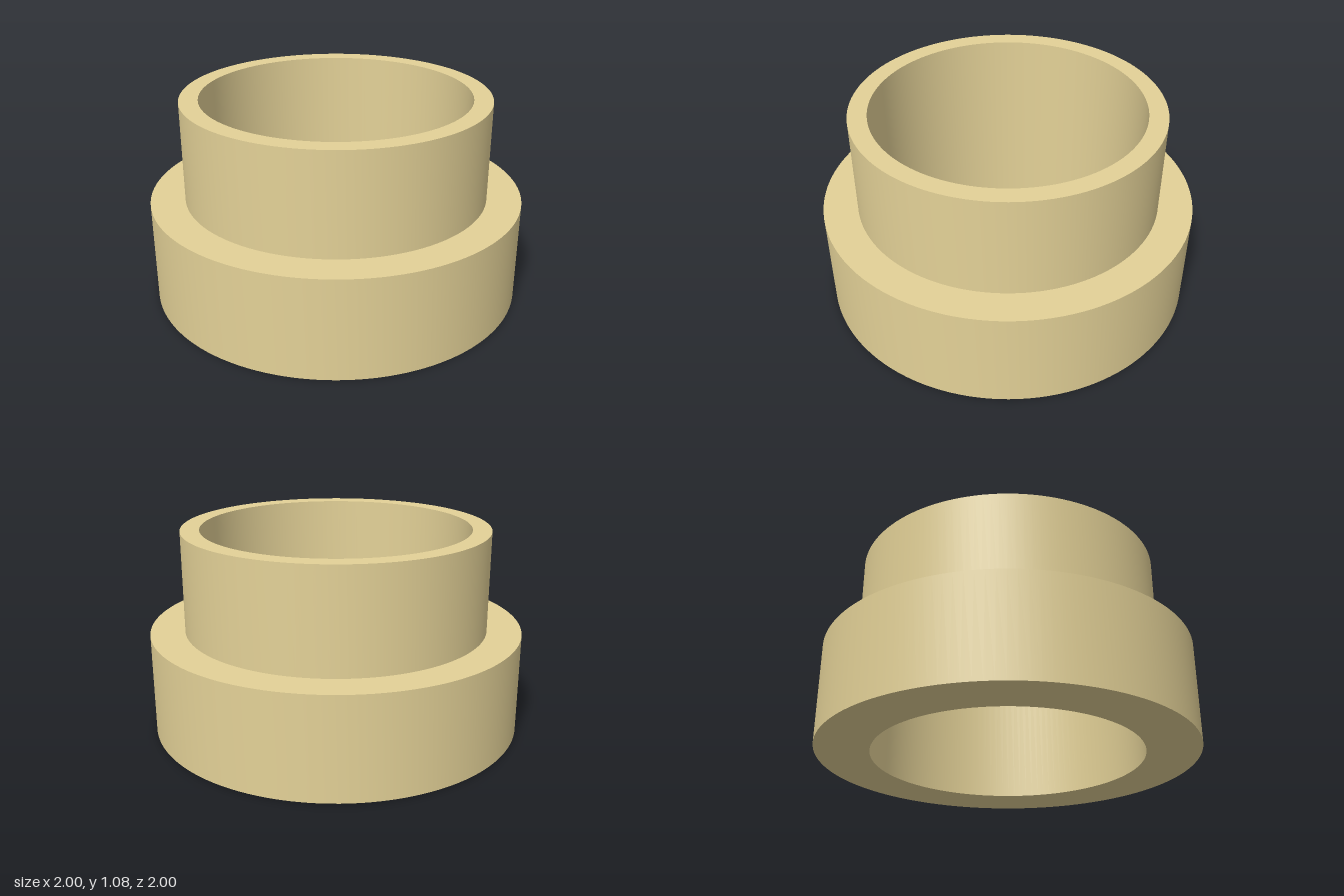
import * as THREE from 'three';
import { toCreasedNormals } from 'three/addons/utils/BufferGeometryUtils.js';

const BORE = 0.717, NECK = 0.817, FLANGE = 1;
const STEP_Y = 0.54, TOP_Y = 1.08;

export function createModel() {
  const group = new THREE.Group();
  group.name = 'flangedBushing';

  // Closed wall section, counter-clockwise from the bottom of the bore
  const section = [
    [BORE, 0], [FLANGE, 0], [FLANGE, STEP_Y], [NECK, STEP_Y],
    [NECK, TOP_Y], [BORE, TOP_Y], [BORE, 0],
  ].map(([r, y]) => new THREE.Vector2(r, y));

  // Stepped ring: wide flange below, thin neck above, straight bore through both
  const geometry = toCreasedNormals(new THREE.LatheGeometry(section, 128), Math.PI / 6);
  const ring = new THREE.Mesh(geometry, new THREE.MeshStandardMaterial({ color: 0xe3d197 }));
  ring.name = 'steppedRing';
  group.add(ring);

  return group;
}
